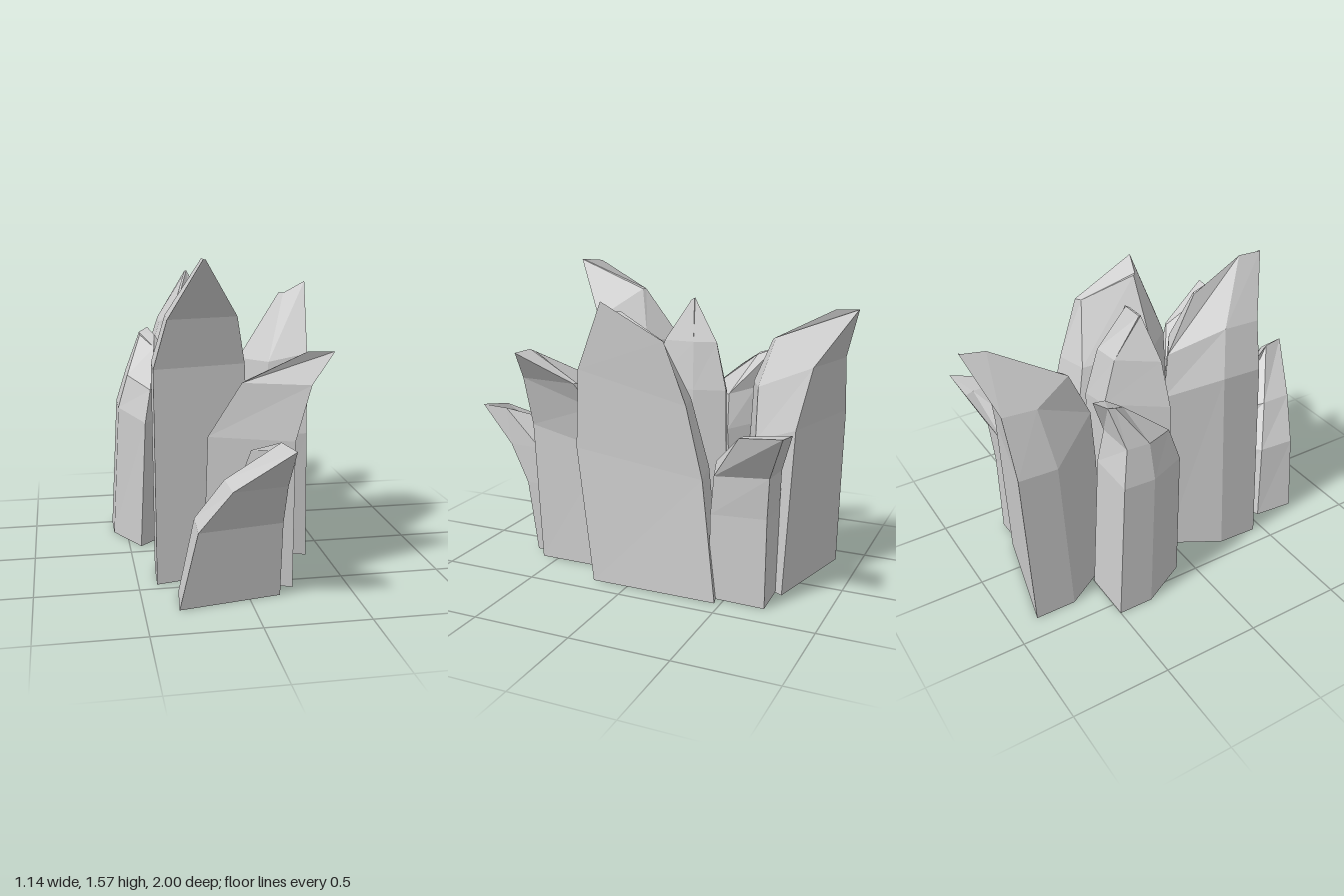
import * as THREE from 'three';

// The crystals are open at the foot, so both sides of the walls show
const material = new THREE.MeshStandardMaterial({
  color: 0xcccccc, flatShading: true, side: THREE.DoubleSide
});

// One crystal: a five-sided base outline [x, z] grows to a small, skewed crown [x, y, z].
// Each level is [pull toward crown, share of height, shift x, shift z].
function crystal(name, base, crown, levels) {
  const rings = [[0, 0, 0, 0], ...levels, [1, 1, 0, 0]].map(([pull, rise, dx, dz]) =>
    base.map(([x, z], i) => {
      const [tx, ty, tz] = crown[i];
      return new THREE.Vector3(
        THREE.MathUtils.lerp(x, tx, pull) + dx,
        ty * rise,
        THREE.MathUtils.lerp(z, tz, pull) + dz
      );
    })
  );

  const points = [];
  const face = (a, b, c) => {
    if (new THREE.Triangle(a, b, c).getArea() > 1e-6) points.push(a, b, c);
  };

  // Side facets between neighbouring rings
  const n = base.length;
  for (let k = 0; k < rings.length - 1; k++) {
    for (let i = 0; i < n; i++) {
      const j = (i + 1) % n;
      face(rings[k][i], rings[k][j], rings[k + 1][j]);
      face(rings[k][i], rings[k + 1][j], rings[k + 1][i]);
    }
  }

  // Crown facets
  const top = rings[rings.length - 1];
  for (let i = 1; i < n - 1; i++) face(top[0], top[i], top[i + 1]);

  const geometry = new THREE.BufferGeometry().setFromPoints(points);
  geometry.computeVertexNormals();
  const mesh = new THREE.Mesh(geometry, material);
  mesh.name = name;
  return mesh;
}

export function createModel() {
  const group = new THREE.Group();
  group.name = 'crystalCluster';

  group.add(
    // Low crystal leaning out at the front
    crystal('frontCrystal',
      [[-0.34, 0.76], [0.15, 0.67], [0.13, 0.48], [-0.05, 0.42], [-0.32, 0.55]],
      [[0.14, 0.79, 1], [0.14, 0.79, 1], [0.13, 0.78, 0.86], [0.01, 0.71, 0.65], [0.1, 0.8, 0.87]],
      [[0.17, 0.48, 0, 0], [0.47, 0.74, 0, 0]]),

    // Medium crystal tipping to the side behind it
    crystal('frontSideCrystal',
      [[-0.18, 0.42], [0.23, 0.59], [0.23, 0.15], [0.1, 0.12], [-0.08, 0.22]],
      [[0.28, 1.15, 0.6], [0.41, 1.15, 0.61], [0.32, 1, 0.33], [0.3, 1, 0.32], [0.28, 1.14, 0.57]],
      [[0.08, 0.64, -0.02, 0.04], [0.37, 0.87, 0, 0.04]]),

    // Tallest crystal
    crystal('tallCrystal',
      [[-0.41, 0.45], [0.08, 0.34], [-0.02, 0.14], [-0.25, -0.02], [-0.4, 0.24]],
      [[-0.19, 1.57, 0.54], [-0.18, 1.57, 0.54], [-0.16, 1.43, 0.17], [-0.18, 1.43, 0.16], [-0.18, 1.57, 0.42]],
      [[0.07, 0.67, -0.015, -0.05], [0.3, 0.82, 0, -0.05]]),

    // Broad slab with a flat outer face
    crystal('broadCrystal',
      [[0.19, 0.13], [0.4, 0.19], [0.4, -0.47], [0.19, -0.42], [0.03, -0.06]],
      [[0.28, 1.37, 0.11], [0.38, 1.43, 0.14], [0.38, 1.26, -0.19], [0.35, 1.26, -0.17], [0.26, 1.37, 0.09]],
      [[-0.06, 0.48, -0.035, 0.1], [0.25, 0.76, -0.03, 0.1]]),

    // Slender crystal in the middle
    crystal('middleCrystal',
      [[-0.34, -0.05], [-0.02, 0.07], [0.04, -0.2], [-0.01, -0.38], [-0.13, -0.34]],
      [[-0.15, 1.38, -0.12], [-0.08, 1.4, -0.14], [-0.07, 1.41, -0.16], [-0.08, 1.41, -0.16], [-0.15, 1.38, -0.13]],
      [[0.1, 0.68, 0, 0], [0.38, 0.85, 0, 0]]),

    // Small crystal on the outer side
    crystal('outerCrystal',
      [[-0.57, -0.5], [-0.57, -0.32], [-0.44, -0.08], [-0.14, -0.37], [-0.3, -0.5]],
      [[-0.4, 1.11, -0.45], [-0.4, 1.1, -0.41], [-0.33, 1.04, -0.33], [-0.32, 1.1, -0.42], [-0.35, 1.13, -0.5]],
      [[0.1, 0.66, 0.02, 0.05], [0.4, 0.82, 0.02, 0.08]]),

    // Large crystal leaning backward
    crystal('backCrystal',
      [[-0.38, -0.87], [-0.38, -0.66], [-0.22, -0.4], [0.05, -0.52], [0.18, -0.74]],
      [[-0.07, 1.4, -1], [-0.09, 1.39, -0.88], [-0.2, 1.21, -0.54], [-0.18, 1.22, -0.56], [-0.06, 1.4, -1]],
      [[0.1, 0.6, 0, -0.01], [0.42, 0.81, 0, 0.02]]),

    // Short crystal hooking out at the back
    crystal('hookedCrystal',
      [[0.05, -0.5], [0.09, -0.33], [0.35, -0.42], [0.36, -0.71], [0.13, -0.7]],
      [[0.41, 0.88, -0.78], [0.45, 0.87, -0.62], [0.49, 0.87, -0.61], [0.57, 0.91, -0.84], [0.39, 0.88, -0.83]],
      [[0.03, 0.5, 0, 0], [0.14, 0.73, 0, 0]])
  );

  return group;
}
